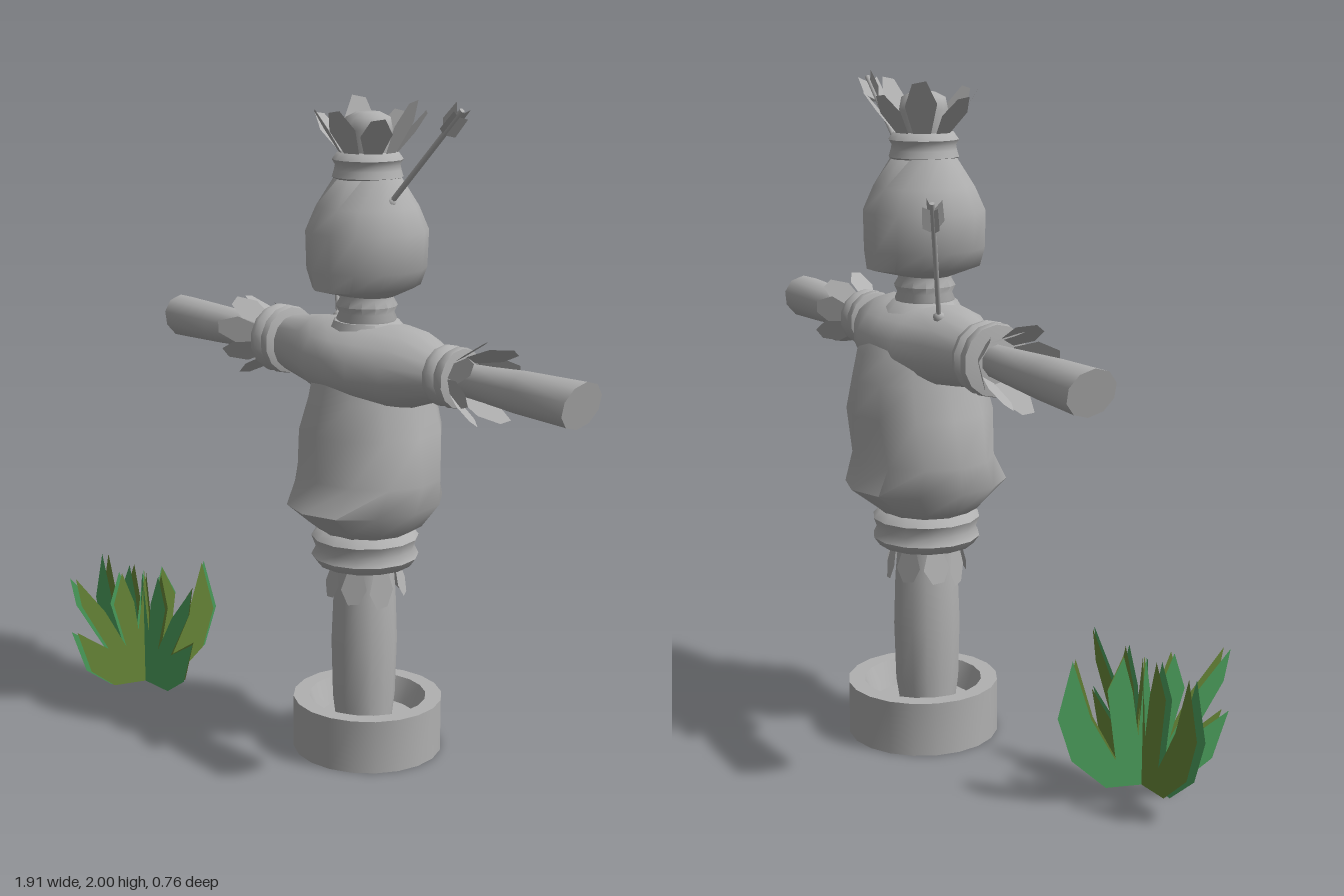
import * as THREE from 'three';
import { toCreasedNormals } from 'three/addons/utils/BufferGeometryUtils.js';

const CX = 0.1, CZ = -0.13;
const straw = new THREE.MeshStandardMaterial({ color: 0xb0b0b0, side: THREE.DoubleSide });
straw.name = 'plain grey';
const green = new THREE.MeshStandardMaterial({ color: 0x4fa660, side: THREE.DoubleSide });
green.name = 'grass green';
const olive = new THREE.MeshStandardMaterial({ color: 0x6c8c3a, side: THREE.DoubleSide });
olive.name = 'grass olive';

// Skin through elliptical rings: [height, radiusX, radiusZ, offsetZ, tilt], closed at both ends
function loft(name, rings, n = 14) {
  const pos = [], idx = [];
  for (const [y, rx, rz = rx, oz = 0, tilt = 0] of rings) {
    for (let j = 0; j < n; j++) {
      const a = (j / n) * Math.PI * 2;
      pos.push(Math.cos(a) * rx, y + tilt * Math.cos(a), Math.sin(a) * rz + oz);
    }
  }
  for (let i = 0; i < rings.length - 1; i++) {
    for (let j = 0; j < n; j++) {
      const a = i * n + j, b = i * n + (j + 1) % n;
      idx.push(a, a + n, b, b, a + n, b + n);
    }
  }
  const last = rings.length - 1;
  for (const k of [0, last]) {
    const c = pos.length / 3;
    pos.push(0, rings[k][0], rings[k][3] || 0);
    for (let j = 0; j < n; j++) {
      const a = k * n + j, b = k * n + (j + 1) % n;
      if (k === 0) idx.push(c, a, b);
      else idx.push(c, b, a);
    }
  }
  const g = new THREE.BufferGeometry();
  g.setAttribute('position', new THREE.Float32BufferAttribute(pos, 3));
  g.setIndex(idx);
  const m = new THREE.Mesh(toCreasedNormals(g, 1.0), straw);
  m.name = name;
  return m;
}

function flat(points) {
  return new THREE.ShapeGeometry(new THREE.Shape(points.map(([x, y]) => new THREE.Vector2(x, y))));
}

// Ring of flared straw leaves opening along +y
const leafGeo = flat([[-0.02, 0], [-0.04, 0.55], [-0.02, 0.95], [0.015, 1], [0.04, 0.6], [0.02, 0]]);
function leaves(name, count, r, tilt, length, width = 1) {
  const group = new THREE.Group();
  group.name = name;
  for (let i = 0; i < count; i++) {
    const spoke = new THREE.Group();
    spoke.rotation.y = ((i + 0.3) / count) * Math.PI * 2;
    const leaf = new THREE.Mesh(leafGeo, straw);
    leaf.name = 'strawLeaf';
    leaf.position.z = r;
    leaf.rotation.x = tilt + 0.12 * Math.sin(i * 2.3);
    leaf.scale.set(width, length * (1 + 0.12 * Math.sin(i * 4.1)), 1);
    spoke.add(leaf);
    group.add(spoke);
  }
  return group;
}

// Arrow from its buried end to the tail, with crossed fletching
const fletchGeo = flat([[0, -0.01], [0.035, 0.02], [0.032, 0.09], [0, 0.065], [-0.032, 0.09], [-0.035, 0.02]]);
function arrow(name, from, to) {
  const a = new THREE.Vector3(...from), d = new THREE.Vector3(...to).sub(a), len = d.length();
  const group = new THREE.Group();
  group.name = name;
  const shaft = new THREE.Mesh(new THREE.CylinderGeometry(0.008, 0.008, len, 6), straw);
  shaft.name = 'shaft';
  shaft.position.y = len / 2;
  const collar = new THREE.Mesh(new THREE.SphereGeometry(0.018, 8, 6), straw);
  collar.name = 'collar';
  collar.position.y = 0.015;
  group.add(shaft, collar);
  for (const turn of [0, Math.PI / 2]) {
    const f = new THREE.Mesh(fletchGeo, straw);
    f.name = 'fletching';
    f.position.y = len - 0.09;
    f.rotation.y = turn;
    group.add(f);
  }
  group.position.copy(a);
  group.quaternion.setFromUnitVectors(new THREE.Vector3(0, 1, 0), d.normalize());
  return group;
}

// Grass clump: two crossed fans of blades, each with an olive layer on a green one
const bladeGeo = flat([
  [-0.12, 0], [-0.23, 0.09], [-0.275, 0.22], [-0.23, 0.385], [-0.17, 0.21], [-0.09, 0.08],
  [-0.12, 0.29], [-0.07, 0.385], [-0.04, 0.28], [-0.02, 0.15], [0, 0.38], [0.03, 0.18], [0.045, 0.28],
  [0.09, 0.385], [0.125, 0.28], [0.08, 0.13], [0.16, 0.26], [0.27, 0.385], [0.25, 0.29],
  [0.15, 0.13], [0.27, 0.2], [0.22, 0.06], [0.13, 0],
]);
function grass() {
  const group = new THREE.Group();
  group.name = 'grassClump';
  for (const [turn, size, side] of [[0, 1, -1], [-1.87, 0.92, -1]]) {
    const fan = new THREE.Group();
    fan.name = 'grassFan';
    fan.rotation.y = turn;
    fan.scale.x = size;
    const front = new THREE.Mesh(bladeGeo, green);
    front.name = 'greenBlades';
    front.position.z = 0.008;
    const back = new THREE.Mesh(bladeGeo, olive);
    back.name = 'oliveBlades';
    back.position.z = 0.008 * side;
    back.scale.x = 0.94;
    fan.add(front, back);
    group.add(fan);
  }
  group.position.set(-0.68, 0.05, 0.14);
  return group;
}

export function createModel() {
  const model = new THREE.Group();
  model.name = 'trainingDummy';
  const dummy = new THREE.Group();
  dummy.name = 'dummy';
  dummy.position.set(CX, 0, CZ);
  model.add(dummy);

  // Hollow base tub and post
  const base = loft('base', [[0, 0.23], [0.165, 0.23], [0.165, 0.18], [0.09, 0.15]], 20);
  base.position.z = -0.015;
  dummy.add(base);
  dummy.add(loft('post', [[0.08, 0.085], [0.17, 0.09, 0.1], [0.35, 0.095, 0.105], [0.5, 0.088, 0.1], [0.64, 0.08, 0.085]]));

  // Tied waist, torso, neck, head and topknot
  dummy.add(loft('waistBand', [[0.595, 0.13], [0.6, 0.145], [0.625, 0.163], [0.65, 0.15], [0.685, 0.163], [0.71, 0.14]]));
  dummy.add(loft('torso', [
    [0.7, 0.13, 0.13], [0.73, 0.185, 0.165, 0], [0.795, 0.22, 0.25, 0], [0.88, 0.238, 0.205, -0.01],
    [1.02, 0.215, 0.22, -0.02], [1.12, 0.18, 0.2, -0.025], [1.2, 0.175, 0.18, -0.025],
    [1.28, 0.15, 0.14, -0.012], [1.345, 0.1, 0.095, 0],
  ], 12));
  dummy.add(loft('neck', [[1.33, 0.08], [1.35, 0.09], [1.37, 0.082], [1.39, 0.092], [1.41, 0.08], [1.44, 0.085]]));
  dummy.add(loft('head', [
    [1.42, 0.09, 0.075], [1.445, 0.13, 0.18], [1.5, 0.168, 0.184], [1.61, 0.175, 0.185],
    [1.68, 0.152, 0.15], [1.77, 0.1, 0.09],
  ]));
  dummy.add(loft('topBand', [[1.755, 0.09], [1.765, 0.104], [1.785, 0.098], [1.8, 0.095], [1.815, 0.104], [1.835, 0.09]]));
  dummy.add(loft('topStub', [[1.82, 0.06], [1.9, 0.072], [1.935, 0.065], [1.95, 0.035]]));

  const crown = leaves('crownLeaves', 8, 0.075, 0.6, 0.165, 1.15);
  crown.position.y = 1.825;
  const skirt = leaves('waistLeaves', 8, 0.1, 0.18, 0.115);
  skirt.position.y = 0.605;
  skirt.rotation.x = Math.PI;
  dummy.add(crown, skirt);

  // Shoulder sleeves running across the torso
  const sleeves = loft('sleeves', [
    [-0.35, 0.083, 0.075], [-0.2, 0.108, 0.12], [-0.1, 0.118, 0.17], [0, 0.12, 0.19],
    [0.1, 0.118, 0.18], [0.2, 0.113, 0.14], [0.33, 0.068, 0.07],
  ]);
  sleeves.rotation.z = -Math.PI / 2;
  sleeves.position.y = 1.226;
  dummy.add(sleeves);

  // Arms with cuff and straw: side, cuff start, cuff scale, tip distance
  for (const [name, s, start, k, tip] of [['leftArm', 1, 0.315, 0.86, 0.842], ['rightArm', -1, 0.335, 1.03, 0.9]]) {
    const arm = new THREE.Group();
    arm.name = name;
    arm.add(loft('forearm', [
      [start + 0.03, 0.045], [start + 0.2, 0.053, 0.06], [tip - 0.2, 0.062, 0.07], [tip, 0.068, 0.077, 0, -s * 0.016],
    ], 10));
    arm.add(loft('cuff', [
      [start, 0.07 * k], [start + 0.01, 0.1 * k], [start + 0.03, 0.104 * k], [start + 0.045, 0.088 * k],
      [start + 0.065, 0.104 * k], [start + 0.085, 0.1 * k], [start + 0.09, 0.06 * k],
    ]));
    const tuft = leaves('wristLeaves', 8, 0.055, 0.42, s > 0 ? 0.15 : 0.165);
    tuft.position.y = start + 0.08;
    arm.add(tuft);
    arm.rotation.z = -s * Math.PI / 2;
    arm.position.y = 1.232;
    dummy.add(arm);
  }

  model.add(arrow('shoulderArrow', [-0.08, 1.31, -0.18], [-0.235, 1.67, -0.285]));
  model.add(arrow('headArrow', [0.21, 1.69, -0.11], [0.5, 1.975, -0.11]));
  model.add(grass());
  return model;
}
